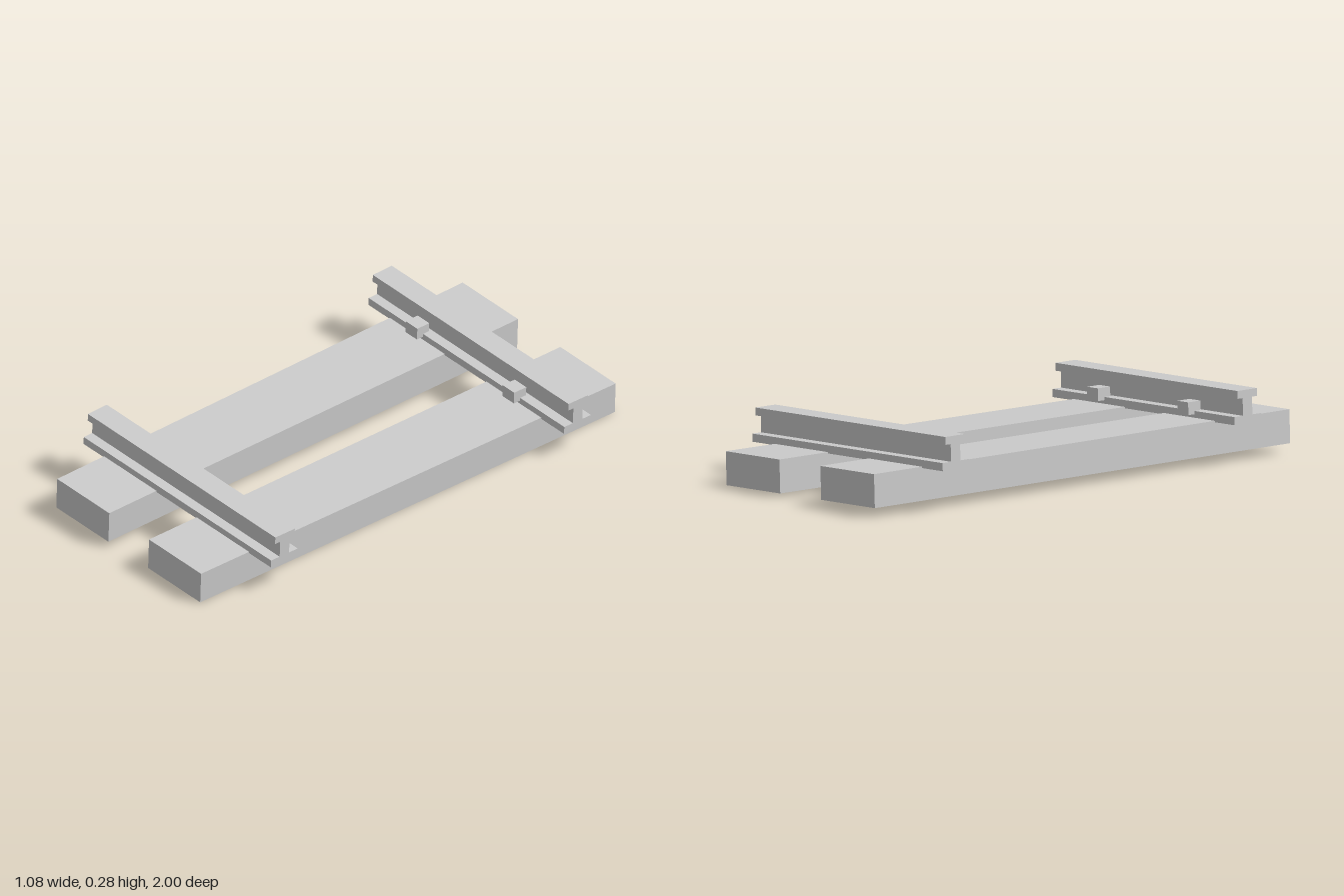
import * as THREE from 'three';

const material = new THREE.MeshStandardMaterial({ color: 0xcccccc, flatShading: true });

// Slight lean, skew and taper shared by every part of the hand-laid track
function skew(geometry) {
  const p = geometry.attributes.position;
  for (let i = 0; i < p.count; i++) {
    const u = p.getX(i), v = p.getY(i), w = p.getZ(i);
    const x = -0.49 + (u + 0.49) * (1 - 0.031 * w) + 0.04 * v;
    p.setXYZ(i, x, 0.017 + v - 0.0415 * x, w + 0.0145 * x);
  }
  geometry.computeVertexNormals();
  return geometry;
}

function addPart(parent, name, geometry) {
  const mesh = new THREE.Mesh(skew(geometry), material);
  mesh.name = name;
  parent.add(mesh);
}

// Box given by its limits on each axis
function boxBetween(x0, x1, y0, y1, z0, z1) {
  return new THREE.BoxGeometry(x1 - x0, y1 - y0, z1 - z0)
    .translate((x0 + x1) / 2, (y0 + y1) / 2, (z0 + z1) / 2);
}

// I-shaped rail section, extruded along x
function railGeometry(z) {
  const half = [[0.0635, 0.12], [0.0635, 0.15], [0.0225, 0.15],
    [0.0225, 0.215], [0.0465, 0.215], [0.0465, 0.244]];
  const outline = [...half, ...half.map(([w, y]) => [-w, y]).reverse()];
  const shape = new THREE.Shape(outline.map(([w, y]) => new THREE.Vector2(w, y)));
  const length = 1.053;
  return new THREE.ExtrudeGeometry(shape, { depth: length, bevelEnabled: false })
    .rotateY(Math.PI / 2)
    .translate(-0.545, 0, z);
}

export function createModel() {
  const model = new THREE.Group();
  model.name = 'railTrack';

  // Two sleepers running front to back
  addPart(model, 'rightSleeper', boxBetween(-0.43, -0.135, 0, 0.125, -0.993, 0.993));
  addPart(model, 'leftSleeper', boxBetween(0.09, 0.385, 0, 0.125, -0.993, 0.993));

  // Two rails across them, each with two clips on its inner side
  for (const side of [1, -1]) {
    const end = side > 0 ? 'front' : 'back';
    addPart(model, end + 'Rail', railGeometry(0.7 * side));
    for (const x of [-0.283, 0.239]) {
      const z = [0.607 * side, 0.665 * side].sort((a, b) => a - b);
      addPart(model, end + (x < 0 ? 'RightClip' : 'LeftClip'),
        boxBetween(x - 0.031, x + 0.031, 0.138, 0.185, z[0], z[1]));
    }
  }
  return model;
}
